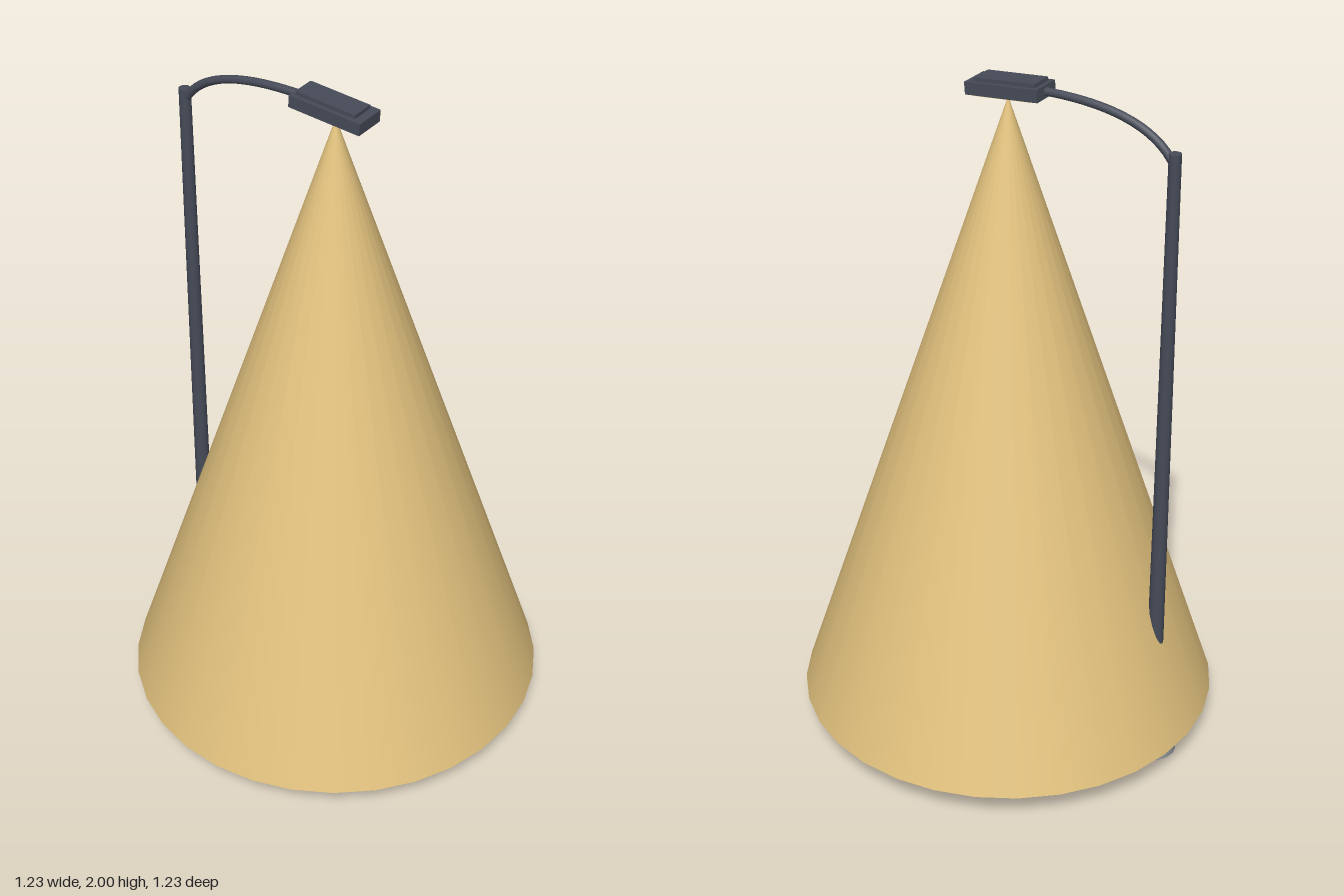
import * as THREE from 'three';

function material(name, color, extra = {}) {
  const m = new THREE.MeshStandardMaterial({ color, ...extra });
  m.name = name;
  return m;
}

export function createModel() {
  const darkMetal = material('dark metal', 0x464b58);
  const greyStone = material('grey footing', 0x8b9096);
  const lampGlass = material('lamp glass', 0xf0c468);
  const lightGold = material('light gold', 0xe2c27e, { side: THREE.DoubleSide });

  const model = new THREE.Group();
  model.name = 'streetLamp';
  const add = (parent, name, geometry, mat, x, y, z = 0) => {
    const mesh = new THREE.Mesh(geometry, mat);
    mesh.name = name;
    mesh.position.set(x, y, z);
    parent.add(mesh);
    return mesh;
  };

  // Footing and tapered pole
  const poleX = -0.497;
  add(model, 'footing', new THREE.CylinderGeometry(0.051, 0.072, 0.14, 16), greyStone, poleX, 0.07);
  add(model, 'pole', new THREE.CylinderGeometry(0.017, 0.024, 1.76, 12), darkMetal, poleX, 1.0);

  // Curved arm reaching from the pole to the lamp head
  const armCurve = new THREE.QuadraticBezierCurve3(
    new THREE.Vector3(poleX, 1.843, 0),
    new THREE.Vector3(-0.42, 1.985, 0),
    new THREE.Vector3(-0.09, 1.973, 0)
  );
  add(model, 'arm', new THREE.TubeGeometry(armCurve, 20, 0.012, 8), darkMetal, 0, 0);

  // Lamp head, tipped slightly down at its free end
  const head = new THREE.Group();
  head.name = 'lampHead';
  head.position.set(-0.005, 1.965, 0);
  head.rotation.z = -0.08;
  model.add(head);
  add(head, 'housing', new THREE.BoxGeometry(0.222, 0.035, 0.096), darkMetal, 0, 0);
  add(head, 'housingLid', new THREE.BoxGeometry(0.185, 0.014, 0.07), darkMetal, -0.006, 0.0215);
  add(head, 'lens', new THREE.BoxGeometry(0.18, 0.006, 0.076), lampGlass, 0.005, -0.019);

  // Open cone of light beneath the head
  add(model, 'lightCone', new THREE.ConeGeometry(0.615, 1.85, 32, 1, true), lightGold, 0, 1.015);

  return model;
}
